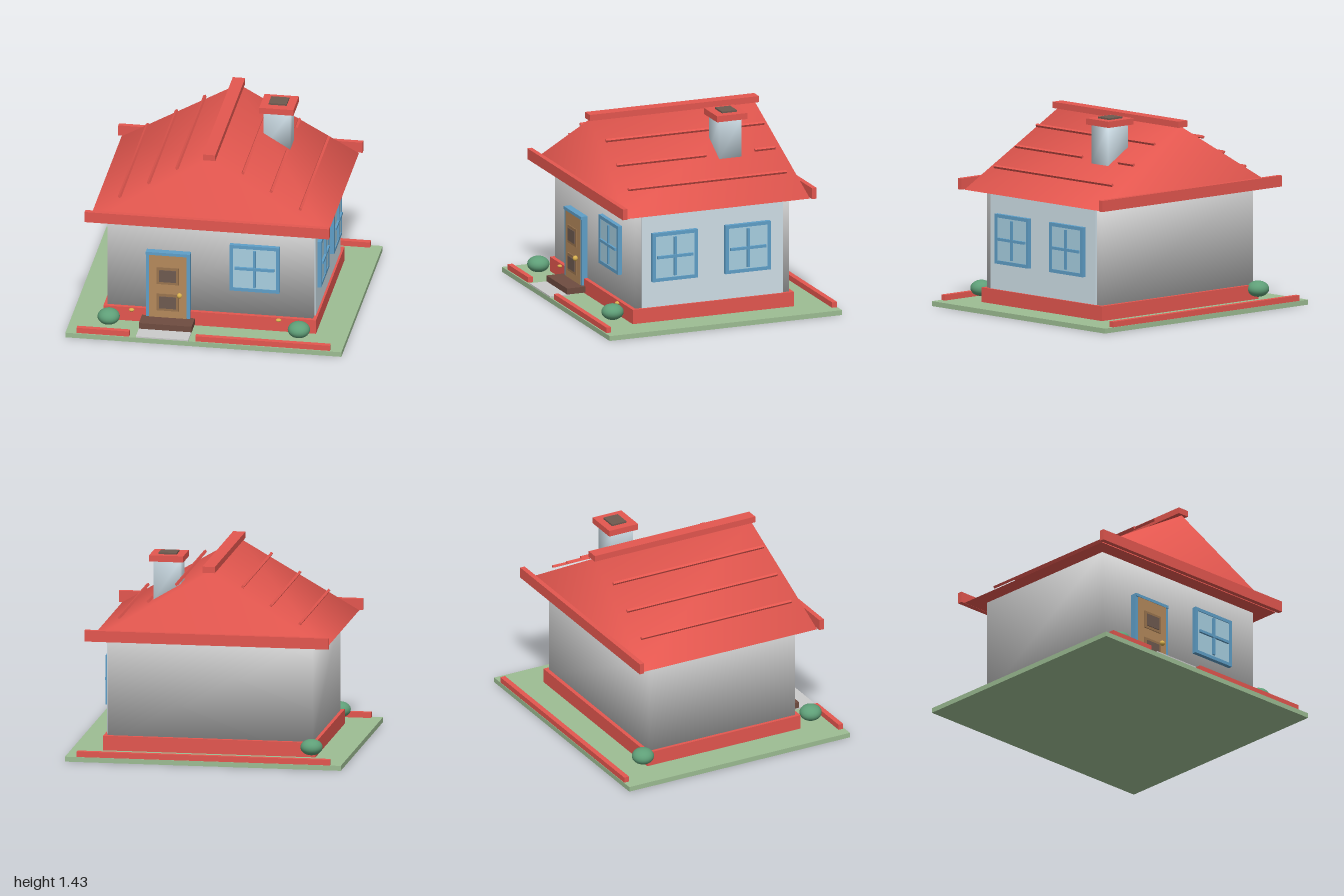
import * as THREE from 'three';
import { mergeVertices } from 'three/addons/utils/BufferGeometryUtils.js';

const mat = (color) => new THREE.MeshStandardMaterial({ color });
const M = {
  wall: mat(0xcccccc), red: mat(0xe4574f), grass: mat(0x9dbd93), pale: mat(0xcfdfe8),
  glass: mat(0xa8d0e2), blue: mat(0x5f9fc8), door: mat(0xb58a5c), panel: mat(0x9a744e),
  dark: mat(0x6e5a50), step: mat(0x6f4c40), bush: mat(0x5f9f78), gold: mat(0xd8b04e),
};

// Average the normals over shared corners
function soften(geo) {
  geo.deleteAttribute('normal');
  geo.deleteAttribute('uv');
  const g = mergeVertices(geo);
  g.computeVertexNormals();
  return g;
}

// Box given by its minimum and maximum on each axis
function box(parent, name, m, [x0, x1], [y0, y1], [z0, z1], soft = false) {
  let g = new THREE.BoxGeometry(x1 - x0, y1 - y0, z1 - z0);
  if (soft) g = soften(g);
  const mesh = new THREE.Mesh(g, m);
  mesh.name = name;
  mesh.position.set((x0 + x1) / 2, (y0 + y1) / 2, (z0 + z1) / 2);
  parent.add(mesh);
  return mesh;
}

function ball(parent, name, m, pos, scale) {
  const mesh = new THREE.Mesh(new THREE.SphereGeometry(1, 24, 16), m);
  mesh.name = name;
  mesh.position.set(...pos);
  mesh.scale.set(...scale);
  parent.add(mesh);
}

// Window facing +z, centred on its own origin, its back on z = 0
function makeWindow(name) {
  const g = new THREE.Group();
  g.name = name;
  const s = 0.18, i = 0.155;
  box(g, 'glass', M.glass, [-i, i], [-i, i], [0, 0.026]);
  for (const k of [-1, 1]) {
    const a = [Math.min(k * s, k * i), Math.max(k * s, k * i)];
    box(g, 'frameSide', M.blue, a, [-s, s], [0, 0.032]);
    box(g, 'frameRail', M.blue, [-i, i], a, [0, 0.032]);
  }
  box(g, 'verticalBar', M.blue, [-0.01, 0.01], [-0.143, 0.143], [0.02, 0.038]);
  box(g, 'crossBar', M.blue, [-0.143, 0.143], [-0.01, 0.01], [0.02, 0.042]);
  return g;
}

// Gable roof whose ends lean in slightly towards the ridge
function makeRoof() {
  const X = 0.86, Y = 0.848, Z = 0.71, RY = 1.362, RZ = 0.637;
  const p = [-X, Y, Z, X, Y, Z, X, Y, -Z, -X, Y, -Z, 0, RY, RZ, 0, RY, -RZ];
  const build = (index) => {
    const g = new THREE.BufferGeometry();
    g.setAttribute('position', new THREE.Float32BufferAttribute(p, 3));
    g.setIndex(index);
    g.computeVertexNormals();
    return g;
  };
  const group = new THREE.Group();
  group.name = 'roof';
  const cover = new THREE.Mesh(build([0, 1, 4, 1, 2, 5, 1, 5, 4, 2, 3, 5, 3, 0, 4, 3, 4, 5]), M.red);
  cover.name = 'roofCover';
  const under = new THREE.Mesh(build([0, 3, 2, 0, 2, 1]), M.red);
  under.name = 'roofUnderside';
  group.add(cover, under);

  box(group, 'ridgeCap', M.red, [-0.045, 0.045], [1.36, 1.405], [-0.655, 0.655]);
  for (const z of [-0.733, 0.733])
    box(group, 'eaveBoard', M.red, [-0.885, 0.885], [0.85, 0.93], [z - 0.018, z + 0.018]);

  // Thin battens along the slopes, one broken around the chimney
  const full = [-0.613, 0.613];
  for (const side of [-1, 1])
    for (const [x, y] of [[0.655, 1.005], [0.445, 1.13], [0.24, 1.26]]) {
      const runs = side > 0 && x === 0.445 ? [[-0.613, -0.455], [-0.08, 0.613]] : [full];
      for (const run of runs) {
        const b = box(group, 'roofBatten', M.red, [-0.009, 0.009], [-0.009, 0.009], run);
        b.position.x = side * x;
        b.position.y = y;
        b.rotation.z = -side * Math.atan2(RY - Y, X);
      }
    }
  return group;
}

export function createModel() {
  const house = new THREE.Group();
  house.name = 'house';

  // Plot
  box(house, 'lawn', M.grass, [-1, 1], [0, 0.036], [-0.9, 0.9]);
  box(house, 'path', M.wall, [-0.49, -0.11], [0.03, 0.046], [0.74, 0.898]);
  box(house, 'frontKerbRight', M.red, [-0.92, -0.54], [0.036, 0.076], [0.853, 0.89]);
  box(house, 'frontKerbLeft', M.red, [-0.06, 0.915], [0.036, 0.076], [0.853, 0.89]);
  box(house, 'backKerb', M.red, [-0.92, 0.915], [0.036, 0.076], [-0.897, -0.858]);

  // Walls
  box(house, 'foundation', M.red, [-0.77, 0.77], [0.036, 0.142], [-0.625, 0.625]);
  box(house, 'walls', M.wall, [-0.745, 0.745], [0.1, 0.85], [-0.595, 0.595], true);
  box(house, 'sideWallPanel', M.pale, [0.74, 0.755], [0.13, 0.83], [-0.545, 0.548]);

  house.add(makeRoof());

  // Chimney
  const chimney = new THREE.Group();
  chimney.name = 'chimney';
  box(chimney, 'chimneyStack', M.pale, [0.257, 0.45], [1.09, 1.38], [-0.352, -0.178], true);
  box(chimney, 'chimneyCap', M.red, [0.23, 0.478], [1.375, 1.42], [-0.385, -0.15]);
  box(chimney, 'chimneyFlue', M.dark, [0.288, 0.418], [1.41, 1.432], [-0.33, -0.213]);
  house.add(chimney);

  // Windows
  const front = makeWindow('frontWindow');
  front.position.set(0.325, 0.513, 0.598);
  house.add(front);
  for (const z of [0.302, -0.263]) {
    const w = makeWindow('sideWindow');
    w.rotation.y = Math.PI / 2;
    w.position.set(0.752, 0.513, z);
    w.scale.x = 0.97;
    house.add(w);
  }

  // Door
  const door = new THREE.Group();
  door.name = 'door';
  box(door, 'doorLeaf', M.door, [-0.435, -0.165], [0.085, 0.58], [0.59, 0.645]);
  box(door, 'doorJamb', M.blue, [-0.46, -0.433], [0.085, 0.6], [0.59, 0.64]);
  box(door, 'doorJamb', M.blue, [-0.167, -0.14], [0.085, 0.6], [0.59, 0.64]);
  box(door, 'doorLintel', M.blue, [-0.46, -0.14], [0.578, 0.6], [0.59, 0.648]);
  for (const y of [0.42, 0.212]) {
    box(door, 'doorPanel', M.panel, [-0.38, -0.22], [y - 0.066, y + 0.066], [0.64, 0.652]);
    box(door, 'doorPanelInset', M.dark, [-0.36, -0.24], [y - 0.046, y + 0.046], [0.645, 0.658]);
  }
  ball(door, 'doorKnob', M.gold, [-0.213, 0.277, 0.66], [0.019, 0.019, 0.019]);
  box(door, 'doorstep', M.step, [-0.49, -0.107], [0.046, 0.09], [0.6, 0.767]);
  house.add(door);

  // Lamps and bushes
  for (const x of [-0.565, 0.5]) ball(house, 'lamp', M.gold, [x, 0.126, 0.63], [0.02, 0.011, 0.02]);
  for (const [x, z] of [[-0.713, 0.738], [0.665, 0.738], [-0.745, -0.648]])
    ball(house, 'bush', M.bush, [x, 0.115, z], [0.08, 0.058, 0.08]);

  return house;
}
